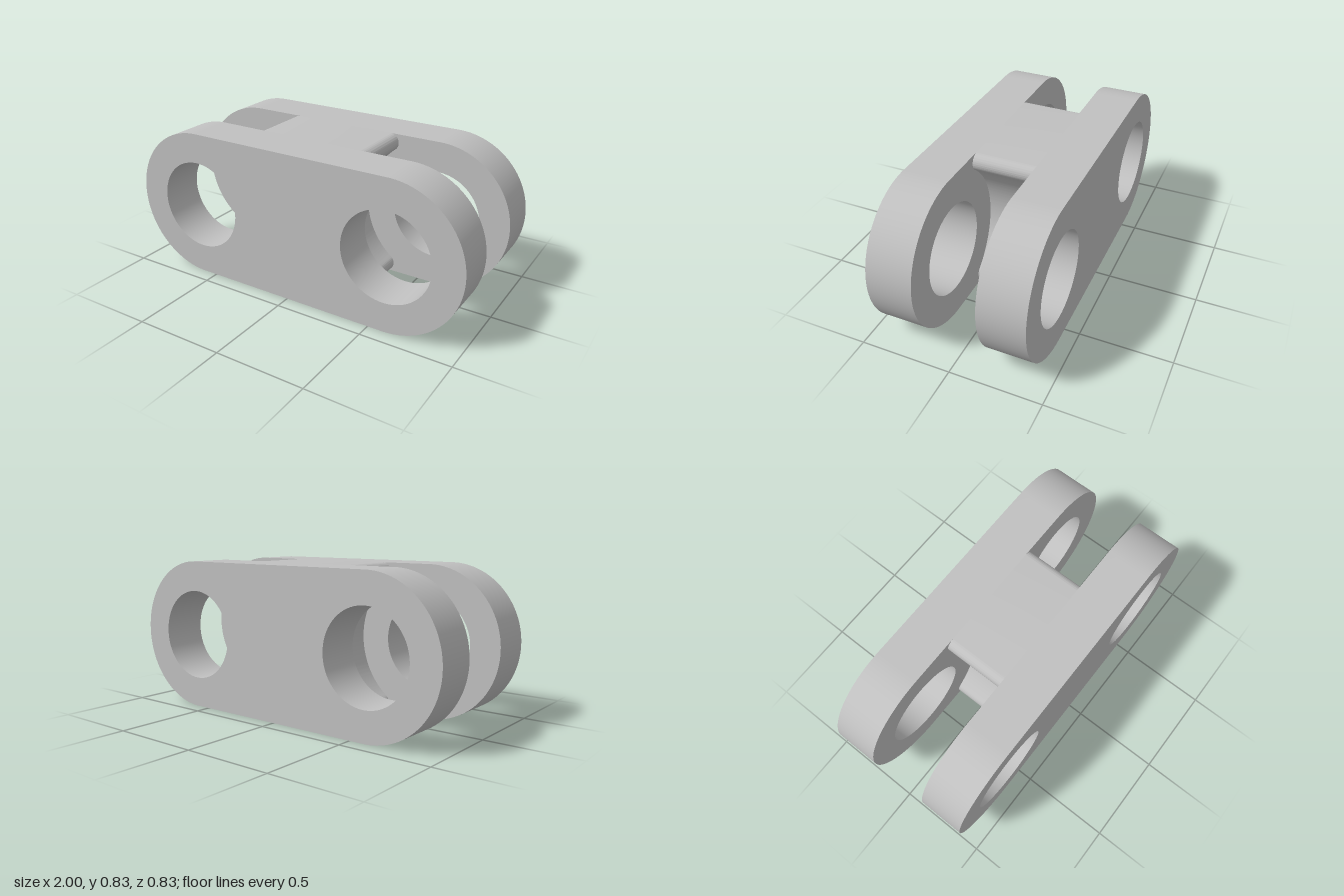
import * as THREE from 'three';
import { toCreasedNormals } from 'three/addons/utils/BufferGeometryUtils.js';

const R = 5 / 12;         // end radius of the plates, also radius of the web's hollow sides
const PIVOT = 7 / 12;     // x of the hole centres
const HOLE = 0.25;
const GAP = 1 / 6;        // half the space between the plates
const TIP = 0.05;         // rounding on the web's edges

// Long plate with round ends and two holes
function plateShape() {
  const s = new THREE.Shape();
  s.absarc(PIVOT, 0, R, -Math.PI / 2, Math.PI / 2, false);
  s.absarc(-PIVOT, 0, R, Math.PI / 2, Math.PI * 1.5, false);
  s.closePath();
  for (const side of [-1, 1]) {
    s.holes.push(new THREE.Path().absarc(side * PIVOT, 0, HOLE, 0, Math.PI * 2, true));
  }
  return s;
}

// Web with hollow sides that run tangentially into rounded tips
function webShape() {
  const s = new THREE.Shape();
  const dy = R - TIP;
  const dx = Math.sqrt((R + TIP) ** 2 - dy ** 2);
  const a = Math.atan2(dy, dx);
  const tipX = PIVOT - dx;
  for (const [k, turn] of [[1, 0], [-1, Math.PI]]) {
    s.absarc(k * tipX, k * dy, TIP, Math.PI / 2 + turn, -a + turn, true);
    s.absarc(k * PIVOT, 0, R, Math.PI - a + turn, Math.PI + a + turn, false);
    s.absarc(k * tipX, -k * dy, TIP, a + turn, -Math.PI / 2 + turn, true);
  }
  s.closePath();
  return s;
}

function extrude(name, shape, depth, z, material) {
  const geo = new THREE.ExtrudeGeometry(shape, { depth, bevelEnabled: false, curveSegments: 48 });
  geo.translate(0, R, z);
  const mesh = new THREE.Mesh(toCreasedNormals(geo, 0.6), material);
  mesh.name = name;
  return mesh;
}

export function createModel() {
  const group = new THREE.Group();
  group.name = 'doubleForkLink';
  const grey = new THREE.MeshStandardMaterial({ color: 0xc0c0c0 });
  grey.name = 'light grey';

  const thick = R - GAP;
  group.add(
    extrude('frontPlate', plateShape(), thick, GAP, grey),
    extrude('backPlate', plateShape(), thick, -R, grey),
    extrude('centreWeb', webShape(), GAP * 2, -GAP, grey)
  );
  return group;
}
